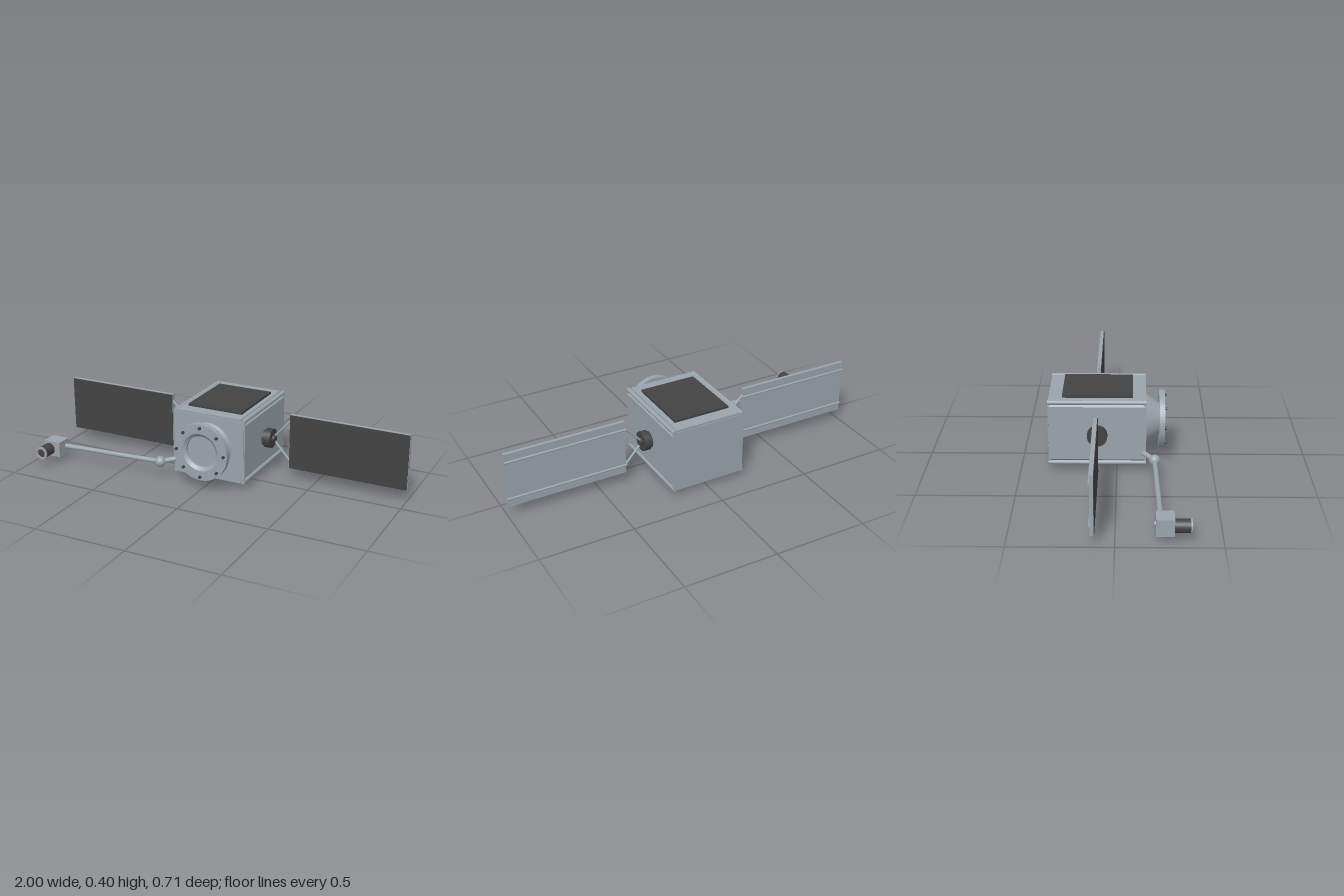
import * as THREE from 'three';

const mat = (name, color, side = THREE.FrontSide) => {
  const m = new THREE.MeshStandardMaterial({ color, side });
  m.name = name;
  return m;
};

export function createModel() {
  const hull = mat('hull grey', 0x99a4aa);
  const dark = mat('dark cells', 0x434343);
  const model = new THREE.Group();
  model.name = 'satellite';
  const CY = 0.21, CZ = -0.1;

  const add = (name, geo, material, x = 0, y = 0, z = 0, parent = model) => {
    const mesh = new THREE.Mesh(geo, material);
    mesh.name = name;
    mesh.position.set(x, y, z);
    parent.add(mesh);
    return mesh;
  };
  const box = (w, h, d) => new THREE.BoxGeometry(w, h, d);
  const cylX = (r, l, n = 32) => new THREE.CylinderGeometry(r, r, l, n).rotateZ(Math.PI / 2);
  const cylZ = (r, l, n = 32, r2 = r) => new THREE.CylinderGeometry(r2, r, l, n).rotateX(Math.PI / 2);
  const rod = (name, a, b, r, material, parent = model) => {
    const p = new THREE.Vector3(...a), q = new THREE.Vector3(...b);
    const d = q.clone().sub(p);
    const mesh = add(name, new THREE.CylinderGeometry(r, r, d.length(), 16), material, 0, 0, 0, parent);
    mesh.position.copy(p).add(q).multiplyScalar(0.5);
    mesh.quaternion.setFromUnitVectors(new THREE.Vector3(0, 1, 0), d.normalize());
    return mesh;
  };

  // Body: prism with notched long edges
  const section = new THREE.Shape();
  const corner = [[0.206, 0.146], [0.192, 0.16], [0.184, 0.164], [0.18, 0.177]];
  const flip = [...corner].reverse();
  const outline = [
    ...corner, ...flip.map(([x, y]) => [-x, y]),
    ...corner.map(([x, y]) => [-x, -y]), ...flip.map(([x, y]) => [x, -y]),
  ];
  section.setFromPoints(outline.map(([x, y]) => new THREE.Vector2(x, y)));
  add('body', new THREE.ExtrudeGeometry(section, { depth: 0.5, bevelEnabled: false }), hull, 0, CY, -0.351);

  // Corner rails, end plates and edge trims
  for (const sx of [-1, 1]) {
    for (const sy of [-1, 1]) {
      add('edgeRail', cylZ(0.012, 0.506, 16), hull, sx * 0.195, CY + sy * 0.167, -0.102);
      for (const z of [0.146, -0.349])
        add('railClip', box(0.016, 0.02, 0.01), hull, sx * 0.196, CY + sy * 0.152, z);
    }
  }
  for (const z of [0.1505, -0.3535]) add('endPlate', box(0.396, 0.33, 0.003), hull, 0, CY, z);

  // Dark panels above and below
  add('topPanel', box(0.31, 0.014, 0.363), dark, 0, 0.392, -0.1);
  add('bottomPanel', box(0.31, 0.016, 0.363), dark, 0, 0.027, -0.1);

  // Patterned antenna under the body
  add('antennaDisc', new THREE.CylinderGeometry(0.143, 0.143, 0.015, 48), hull, 0, 0.0125, CZ);
  add('antennaFace', new THREE.CylinderGeometry(0.131, 0.131, 0.002, 48), dark, 0, 0.0042, CZ);
  const pitch = 0.023;
  const cell = new THREE.CylinderGeometry(0.009, 0.009, 0.004, 6);
  for (let r = -6; r <= 6; r++) {
    for (let c = -6; c <= 6; c++) {
      const x = (c + (Math.abs(r) % 2) / 2) * pitch, z = r * pitch * 0.866;
      if (Math.hypot(x, z) < 0.121) add('antennaCell', cell, hull, x, 0.002, CZ + z);
    }
  }

  // Docking port: cone, flange with a bore, bolts
  const port = new THREE.Group();
  port.name = 'dockingPort';
  port.position.set(0, CY, 0);
  model.add(port);
  add('portCone', cylZ(0.132, 0.07, 48, 0.086), hull, 0, 0, 0.185, port);
  const profile = [[0.085, 0.22], [0.154, 0.22], [0.154, 0.25], [0.102, 0.25], [0.085, 0.236], [0.085, 0.22]];
  const facets = [];
  for (let i = 0; i < profile.length - 1; i++)
    facets.push(new THREE.LatheGeometry([profile[i], profile[i + 1]].map(([r, h]) => new THREE.Vector2(r, h)), 48));
  for (const g of facets) add('portFlange', g.rotateX(Math.PI / 2), hull, 0, 0, 0, port);
  add('portFloor', cylZ(0.086, 0.004, 48), hull, 0, 0, 0.221, port);
  for (let i = 0; i < 8; i++) {
    const a = i * Math.PI / 4;
    add('portBolt', cylZ(0.008, 0.012, 12), dark, Math.cos(a) * 0.135, Math.sin(a) * 0.135, 0.254, port);
  }

  // Solar wings, one on each side
  for (const s of [-1, 1]) {
    const wing = new THREE.Group();
    wing.name = s > 0 ? 'leftWing' : 'rightWing';
    wing.position.set(0, CY, CZ);
    model.add(wing);
    add('hubNeck', cylX(0.044, 0.02), dark, s * 0.212, 0, 0, wing);
    add('hub', cylX(0.052, 0.036), dark, s * 0.236, 0, 0, wing);
    add('hubTip', cylX(0.02, 0.02), dark, s * 0.258, 0, 0, wing);
    add('wingPanel', box(0.65, 0.303, 0.018), hull, s * 0.674, 0, -0.004, wing);
    add('solarCells', box(0.646, 0.299, 0.004), dark, s * 0.674, 0, 0.006, wing);
    for (const t of [-1, 1]) {
      rod('wingStrut', [s * 0.255, t * 0.006, -0.004], [s * 0.356, t * 0.118, -0.004], 0.006, hull, wing);
      rod('wingRail', [s * 0.345, t * 0.105, -0.015], [s * 1.0, t * 0.105, -0.015], 0.006, hull, wing);
    }
  }

  // Camera boom
  const joint = [-0.268, 0.09, 0.195];
  rod('boomRoot', [-0.185, 0.1, 0.125], joint, 0.014, hull);
  add('boomJoint', new THREE.SphereGeometry(0.029, 24, 16), hull, ...joint);
  rod('boom', joint, [-0.875, 0.077, 0.212], 0.013, hull);
  add('cameraBox', box(0.097, 0.084, 0.086), hull, -0.908, 0.074, 0.231);
  add('cameraBoxKnob', cylZ(0.012, 0.008, 16), hull, -0.908, 0.074, 0.186);
  add('cameraBarrel', cylZ(0.033, 0.074), dark, -0.925, 0.072, 0.31);
  const rim = new THREE.Shape().absarc(0, 0, 0.035, 0, Math.PI * 2);
  rim.holes.push(new THREE.Path().absarc(0, 0, 0.024, 0, Math.PI * 2, true));
  add('cameraRim', new THREE.ExtrudeGeometry(rim, { depth: 0.008, bevelEnabled: false, curveSegments: 24 }),
    hull, -0.925, 0.072, 0.347);
  return model;
}
